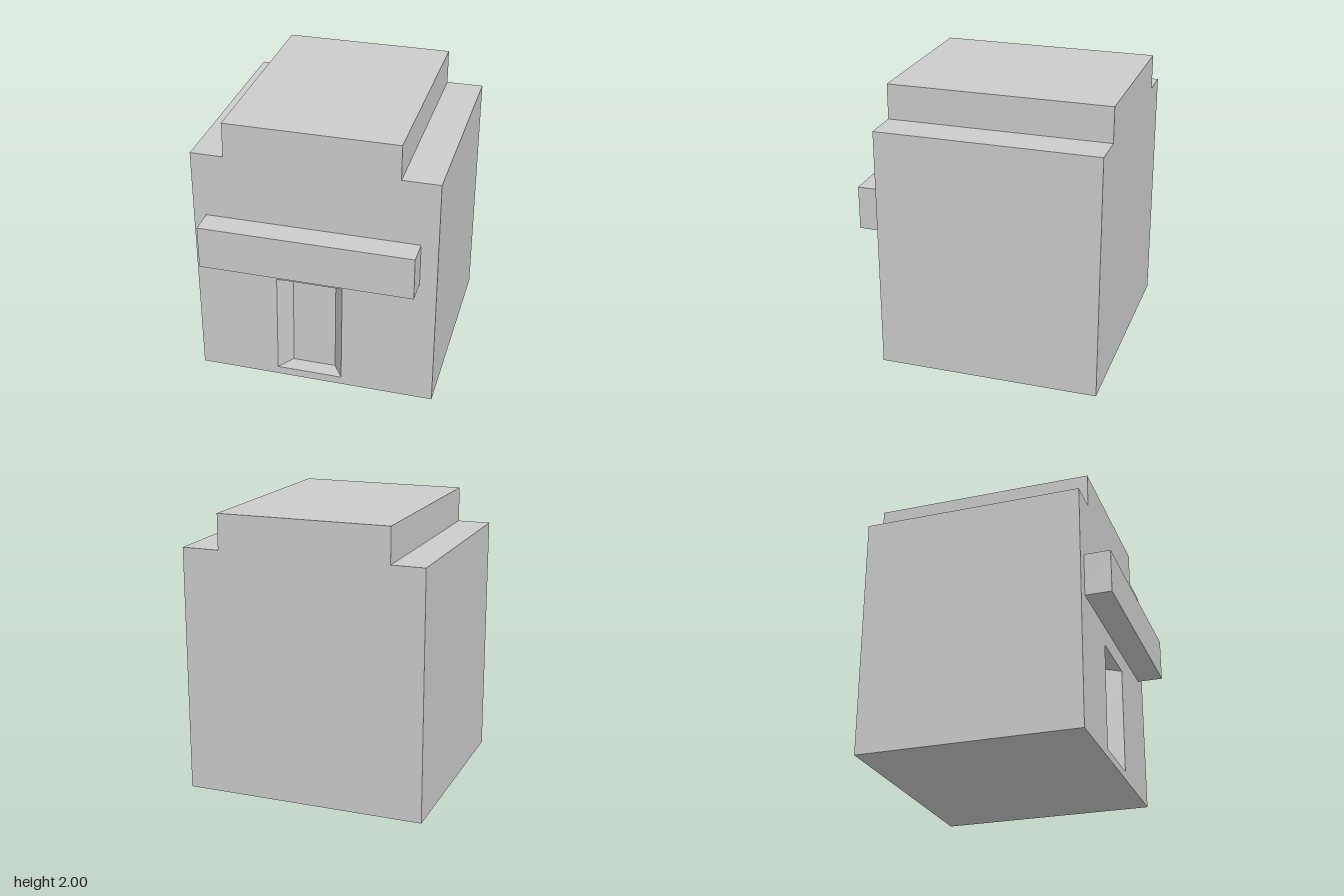
import * as THREE from 'three';

const BACK = -0.88, FRONT = 0.695, RECESS = 0.12;

// Stepped silhouette shared by the main block and the front wall
const outline = () => new THREE.Shape([
  [-0.86, 0], [0.86, 0], [0.86, 1.75], [0.595, 1.75],
  [0.595, 2], [-0.625, 2], [-0.625, 1.75], [-0.86, 1.75],
].map(([x, y]) => new THREE.Vector2(x, y)));

const slab = (shape, z0, z1) =>
  new THREE.ExtrudeGeometry(shape, { depth: z1 - z0, bevelEnabled: false }).translate(0, 0, z0);

export function createModel() {
  const group = new THREE.Group();
  const material = new THREE.MeshStandardMaterial({ color: 0xcccccc, flatShading: true });
  const add = (name, geometry) => {
    const mesh = new THREE.Mesh(geometry, material);
    mesh.name = name;
    group.add(mesh);
  };

  // Main block with the raised roof, up to the back of the doorway
  add('building', slab(outline(), BACK, FRONT - RECESS));

  // Front wall with the doorway cut through it
  const wall = outline();
  wall.holes.push(new THREE.Path([
    [-0.285, 0.06], [-0.275, 0.83], [0.2, 0.83], [0.192, 0.06],
  ].map(([x, y]) => new THREE.Vector2(x, y))));
  const wallGeometry = slab(wall, FRONT - RECESS, FRONT);

  // Splay the door jambs: narrow the doorway at its back edge
  const p = wallGeometry.attributes.position;
  for (let i = 0; i < p.count; i++) {
    const x = p.getX(i);
    if (Math.abs(x) < 0.4 && p.getZ(i) < FRONT - RECESS / 2) {
      p.setX(i, x < 0 ? x + 0.085 : x - 0.078);
    }
  }
  wallGeometry.computeVertexNormals();
  add('frontWallWithDoorway', wallGeometry);

  // Sign board over the door
  add('signBoard', new THREE.BoxGeometry(1.51, 0.31, 0.185)
    .translate(-0.015, 1.125, FRONT + 0.0925));

  return group;
}
